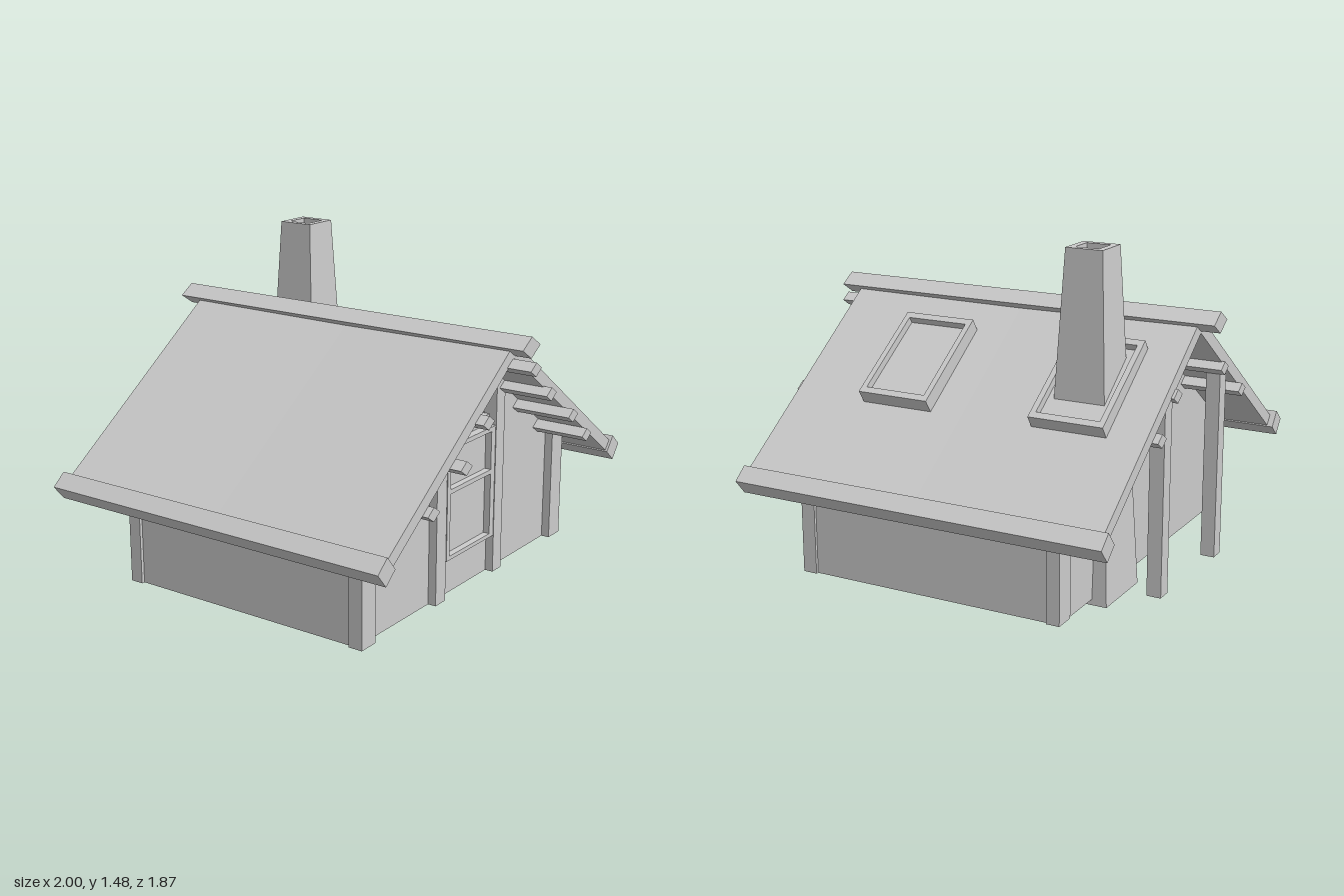
import * as THREE from 'three';

const grey = new THREE.MeshStandardMaterial({ color: 0xcccccc, flatShading: true, side: THREE.DoubleSide });
const SLOPE = 0.713;               // roof fall per unit of x
const ROOF_TOP = 1.157, ROOF_UNDER = 1.09;
const under = (x) => ROOF_UNDER - SLOPE * Math.abs(x);

export function createModel() {
  const model = new THREE.Group();

  const add = (name, geometry, x = 0, y = 0, z = 0) => {
    const mesh = new THREE.Mesh(geometry, grey);
    mesh.name = name;
    mesh.position.set(x, y, z);
    model.add(mesh);
    return mesh;
  };
  const polygon = (points) => new THREE.Shape(points.map(([x, y]) => new THREE.Vector2(x, y)));
  const rect = (x0, x1, y0, y1) => [[x0, y0], [x1, y0], [x1, y1], [x0, y1]];
  // Outline with optional holes, extruded from z0 to z1
  const slab = (name, points, z0, z1, holes = [], steps = 1) => {
    const shape = polygon(points);
    shape.holes = holes.map(polygon);
    const geometry = new THREE.ExtrudeGeometry(shape, { depth: z1 - z0, steps, bevelEnabled: false });
    return add(name, geometry.translate(0, 0, z0));
  };
  // Beam along z with a diamond section
  const diamondBeam = (name, x, y, halfW, halfH, z0, z1) => {
    const geometry = new THREE.CylinderGeometry(1, 1, z1 - z0, 4).rotateX(Math.PI / 2).scale(halfW, halfH, 1);
    return add(name, geometry, x, y, (z0 + z1) / 2);
  };
  // Hollow upright whose top is cut to the roof pitch
  const post = (name, x0, x1, z0, z1, y0) => {
    const geometry = new THREE.CylinderGeometry(Math.SQRT1_2, Math.SQRT1_2, 1, 4, 1, true).rotateY(Math.PI / 4);
    geometry.scale(x1 - x0, 1, z1 - z0).translate((x0 + x1) / 2, 0, (z0 + z1) / 2);
    const p = geometry.attributes.position;
    for (let i = 0; i < p.count; i++) p.setY(i, p.getY(i) > 0 ? under(p.getX(i)) : y0);
    return add(name, geometry);
  };

  // Thin walls, open underneath; the front one is notched for the gable recess
  const [left, right] = [[-0.8, 0.035], [0.8, 0.035]];
  const eaves = [[0.8, under(0.8)], [-0.8, under(0.8)]];
  const notch = [[0.195, under(0.195)], [0.195, 0.765], [-0.2, 0.765], [-0.2, under(0.2)]];
  add('frontWall', new THREE.ShapeGeometry(polygon([left, right, eaves[0], ...notch, eaves[1]])), 0, 0, 0.597);
  add('backWall', new THREE.ShapeGeometry(polygon([left, right, eaves[0], [0, ROOF_UNDER], eaves[1]])), 0, 0, -0.597);
  for (const s of [-1, 1]) {
    const wall = new THREE.PlaneGeometry(1.194, 0.49).rotateY(s * Math.PI / 2);
    add('sideWall', wall, s * 0.8, 0.28, 0);
  }

  // Recessed gable panel and its sill
  slab('gablePanel', [notch[2], notch[1], notch[0], [0, ROOF_UNDER], notch[3]], 0.54, 0.555);
  add('gableSill', new THREE.BoxGeometry(0.395, 0.012, 0.06), -0.0025, 0.759, 0.57);

  // Timber uprights
  for (const s of [-1, 1]) {
    const [a, b] = s < 0 ? [-0.815, -0.72] : [0.715, 0.812];
    post('frontCornerPost', a, b, 0.57, 0.635, 0.035);
    post('backCornerPost', a, b, -0.605, -0.545, 0.035);
    const [c, d] = s < 0 ? [-0.275, -0.2] : [0.195, 0.265];
    post('frontPost', c, d, 0.57, 0.635, 0.035);
    post('porchPost', s * 0.3 - 0.035, s * 0.3 + 0.035, -0.835, -0.77, s < 0 ? 0 : 0.025);
  }

  // Front window: deep box, frame with two panes
  slab('windowBox', rect(-0.195, 0.19, 0.21, 0.72), 0.49, 0.605);
  slab('windowFrame', rect(-0.195, 0.19, 0.21, 0.72), 0.605, 0.635,
    [rect(-0.17, 0.157, 0.228, 0.507), rect(-0.17, 0.157, 0.527, 0.7)]);

  // Roof slopes sagging at mid ridge, and eave beams
  for (const s of [-1, 1]) {
    const e = 0.92;
    const outline = [[0, ROOF_UNDER], [s * e, under(e)], [s * e, ROOF_TOP - SLOPE * e], [0, ROOF_TOP]];
    const p = slab('roofSlope', outline, -0.845, 0.825, [], 2).geometry.attributes.position;
    for (let i = 0; i < p.count; i++) {
      if (Math.abs(p.getX(i)) < 0.01 && Math.abs(p.getZ(i)) < 0.1) p.setY(i, p.getY(i) - 0.02);
    }
    const eave = add('eaveBeam', new THREE.BoxGeometry(0.082, 0.085, 1.708), s * 0.939, 0.461, -0.018);
    eave.rotation.z = -s * 0.7;
  }
  diamondBeam('ridgeBeam', 0.003, 1.145, 0.072, 0.046, -0.932, 0.902);
  diamondBeam('ridgePurlin', -0.012, 1.06, 0.045, 0.03, 0.57, 0.935);

  // Purlin ends carrying the overhangs: x, y, front end, back end
  const purlins = [[0.26, 0.882, 0.865, -0.858], [0.445, 0.744, 0.877, -0.872], [0.637, 0.603, 0.85]];
  for (const [x, y, front, back] of purlins) {
    for (const s of [-1, 1]) {
      diamondBeam('frontPurlin', s * x, y, 0.044, 0.03, 0.59, front);
      if (back) diamondBeam('backPurlin', s * x, y, 0.044, 0.03, back, -0.59);
    }
  }

  // Raised skylights on the left slope: frame around a recessed pane
  for (const z of [0.308, -0.51]) {
    const frame = polygon(rect(-0.241, 0.241, -0.168, 0.168));
    frame.holes.push(polygon(rect(-0.21, 0.21, -0.143, 0.143)));
    const skylight = new THREE.Group();
    skylight.name = 'skylight';
    skylight.position.set(0.354, 0.89, z);
    skylight.rotation.z = -0.594;
    const frameGeometry = new THREE.ExtrudeGeometry(frame, { depth: 0.066, bevelEnabled: false }).rotateX(-Math.PI / 2);
    skylight.add(add('skylightFrame', frameGeometry));
    skylight.add(add('skylightPane', new THREE.PlaneGeometry(0.42, 0.286).rotateX(-Math.PI / 2), 0, 0.034, 0));
    model.add(skylight);
  }

  // Tapered hollow chimney: rings of outer base, outer top, rim and flue floor
  const rings = [[0.156, 0.01], [0.083, 1.483], [0.053, 1.483], [0.053, 1.4], [0, 1.4]];
  const profile = rings.map(([half, y]) => new THREE.Vector2(half * Math.SQRT2, y));
  const chimney = new THREE.LatheGeometry(profile, 4, Math.PI / 4).toNonIndexed();
  chimney.computeVertexNormals();
  add('chimney', chimney, 0.345, 0, -0.508);

  return model;
}
